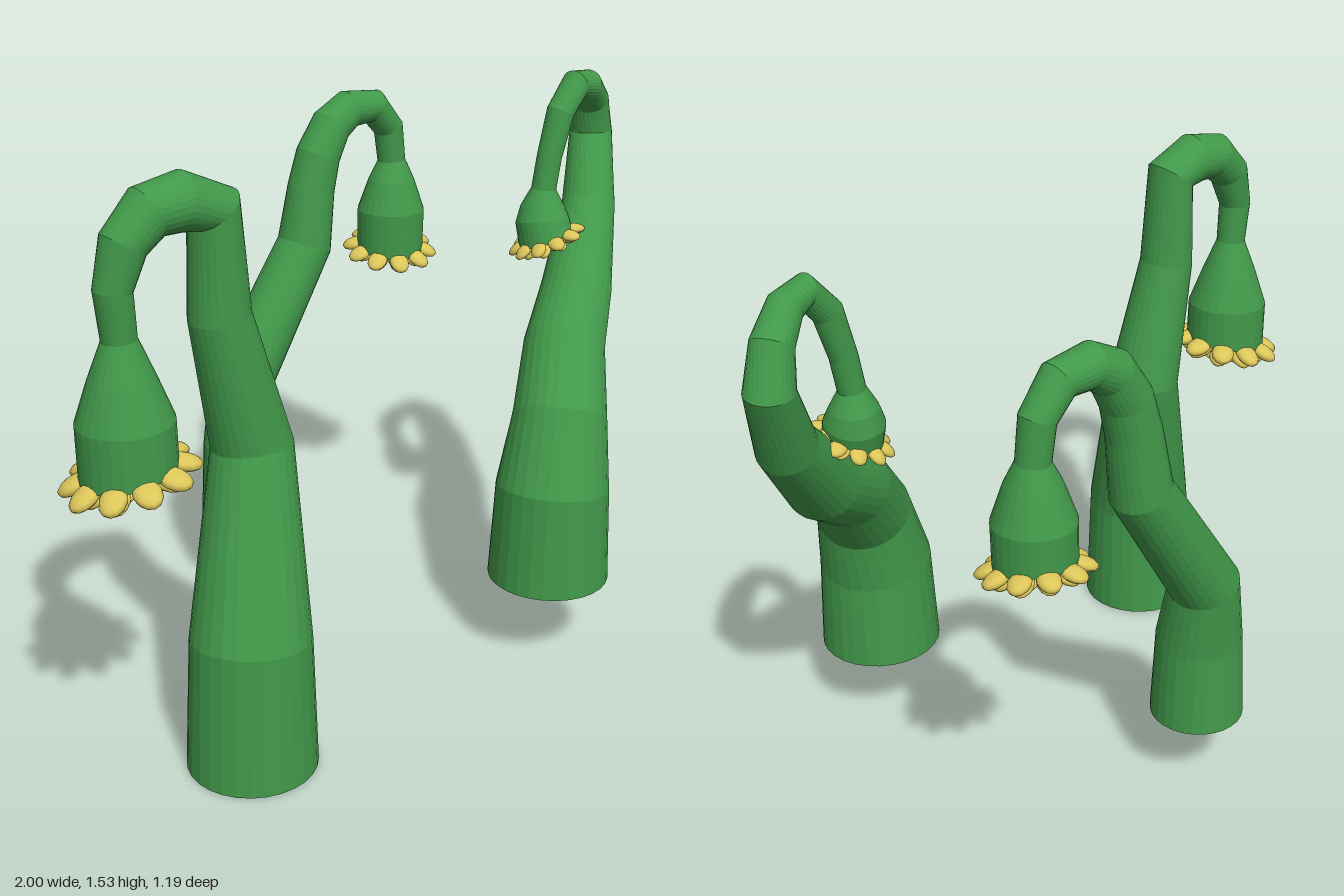
import * as THREE from 'three';

const SIDES = 28;
const green = new THREE.MeshStandardMaterial({ color: 0x41984a, flatShading: true });
const yellow = new THREE.MeshStandardMaterial({ color: 0xdcc65a });

// Closed tube through rings of [x, y, z, radius]; the ends face the given directions
function sweep(rings, startDir, endDir) {
  const pts = rings.map(r => new THREE.Vector3(r[0], r[1], r[2]));
  const last = pts.length - 1;
  const pos = [], index = [];
  const normal = new THREE.Vector3(1, 0, 0);
  const addRing = (c, t, r) => {
    const b = new THREE.Vector3().crossVectors(t, normal);
    for (let j = 0; j < SIDES; j++) {
      const a = j / SIDES * Math.PI * 2;
      const p = c.clone().addScaledVector(normal, r * Math.cos(a)).addScaledVector(b, r * Math.sin(a));
      pos.push(p.x, p.y, p.z);
    }
  };
  pts.forEach((p, i) => {
    let t;
    if (i === 0) t = startDir;
    else if (i === last) t = endDir;
    else {
      const before = p.clone().sub(pts[i - 1]).normalize();
      t = pts[i + 1].clone().sub(p).normalize().add(before).normalize();
    }
    normal.addScaledVector(t, -normal.dot(t)).normalize();
    if (i === 0) addRing(p, t, 0);
    addRing(p, t, rings[i][3]);
    if (i === last) addRing(p, t, 0);
  });
  for (let i = 0; i < rings.length + 1; i++) {
    for (let j = 0; j < SIDES; j++) {
      const k = (j + 1) % SIDES;
      const a = i * SIDES + j, b = i * SIDES + k, c = a + SIDES, d = b + SIDES;
      if (i > 0) index.push(a, b, c);
      if (i < rings.length) index.push(b, d, c);
    }
  }
  const g = new THREE.BufferGeometry();
  g.setAttribute('position', new THREE.Float32BufferAttribute(pos, 3));
  g.setIndex(index);
  const flat = g.toNonIndexed();
  flat.computeVertexNormals();
  return flat;
}

// Layers of rounded petals under the bell rim; local +y points out of the bell
function petals(size) {
  const group = new THREE.Group();
  group.name = 'petals';
  const geo = new THREE.SphereGeometry(1, 12, 8);
  geo.scale(0.4 * size, 0.17 * size, 0.29 * size);
  const layers = [
    { count: 10, radius: 1.06, height: 0.06, droop: 0.35, scale: 1 },
    { count: 8, radius: 0.72, height: 0.25, droop: 0.5, scale: 0.9 },
    { count: 5, radius: 0.4, height: 0.28, droop: 0.6, scale: 0.65 },
  ];
  layers.forEach((l, n) => {
    for (let i = 0; i < l.count; i++) {
      const spoke = new THREE.Group();
      spoke.rotation.y = (i + n * 0.5) / l.count * Math.PI * 2;
      const petal = new THREE.Mesh(geo, yellow);
      petal.name = 'petal';
      petal.position.set(l.radius * size, l.height * size, 0);
      petal.rotation.z = l.droop;
      petal.scale.setScalar(l.scale);
      spoke.add(petal);
      group.add(spoke);
    }
  });
  return group;
}

// Stem and bell in one sweep, with petals at the rim
function plant(name, rings, axis) {
  const group = new THREE.Group();
  group.name = name;
  const dir = new THREE.Vector3(...axis).normalize();
  const stem = new THREE.Mesh(sweep(rings, new THREE.Vector3(0, 1, 0), dir), green);
  stem.name = 'stemAndBell';
  const [x, y, z, r] = rings[rings.length - 1];
  const flower = petals(r);
  flower.position.set(x, y, z);
  flower.quaternion.setFromUnitVectors(new THREE.Vector3(0, 1, 0), dir);
  group.add(stem, flower);
  return group;
}

export function createModel() {
  const model = new THREE.Group();
  model.name = 'droopingFlowers';
  model.add(
    plant('rightPlant', [
      [-0.59, 0, 0.335, 0.166], [-0.587, 0.35, 0.335, 0.152], [-0.5, 0.81, 0.24, 0.102],
      [-0.585, 1.155, 0.24, 0.076], [-0.595, 1.41, 0.24, 0.07], [-0.68, 1.443, 0.235, 0.07],
      [-0.765, 1.432, 0.23, 0.065], [-0.83, 1.37, 0.228, 0.057], [-0.86, 1.27, 0.225, 0.046],
      [-0.85, 1.155, 0.225, 0.042], [-0.848, 1.06, 0.225, 0.08], [-0.845, 0.96, 0.225, 0.116],
      [-0.842, 0.835, 0.225, 0.118],
    ], [0.17, -1, 0.05]),
    plant('backPlant', [
      [-0.025, 0.21, -0.435, 0.126], [-0.025, 0.45, -0.435, 0.115], [0, 0.635, -0.465, 0.094],
      [0.245, 1.0, -0.47, 0.08], [0.27, 1.165, -0.468, 0.069], [0.295, 1.26, -0.465, 0.065],
      [0.345, 1.34, -0.465, 0.06], [0.41, 1.378, -0.465, 0.055], [0.505, 1.373, -0.465, 0.05],
      [0.568, 1.3, -0.465, 0.045], [0.58, 1.2, -0.463, 0.042], [0.578, 1.14, -0.46, 0.07],
      [0.577, 1.05, -0.46, 0.101], [0.577, 0.935, -0.462, 0.1],
    ], [0.08, -1, -0.2]),
    plant('leftPlant', [
      [0.385, 0.225, 0.418, 0.166], [0.387, 0.49, 0.418, 0.154], [0.44, 0.675, 0.385, 0.128],
      [0.545, 0.825, 0.295, 0.112], [0.69, 0.93, 0.2, 0.1], [0.855, 1.13, 0.085, 0.076],
      [0.932, 1.32, 0.012, 0.061], [0.902, 1.42, 0.03, 0.052], [0.83, 1.475, 0.075, 0.045],
      [0.765, 1.49, 0.093, 0.041], [0.705, 1.42, 0.095, 0.039], [0.672, 1.3, 0.092, 0.035],
      [0.657, 1.21, 0.09, 0.035], [0.655, 1.16, 0.09, 0.062], [0.652, 1.12, 0.095, 0.076],
      [0.65, 1.075, 0.11, 0.078],
    ], [0.3, -1, 0.25]),
  );
  return model;
}
